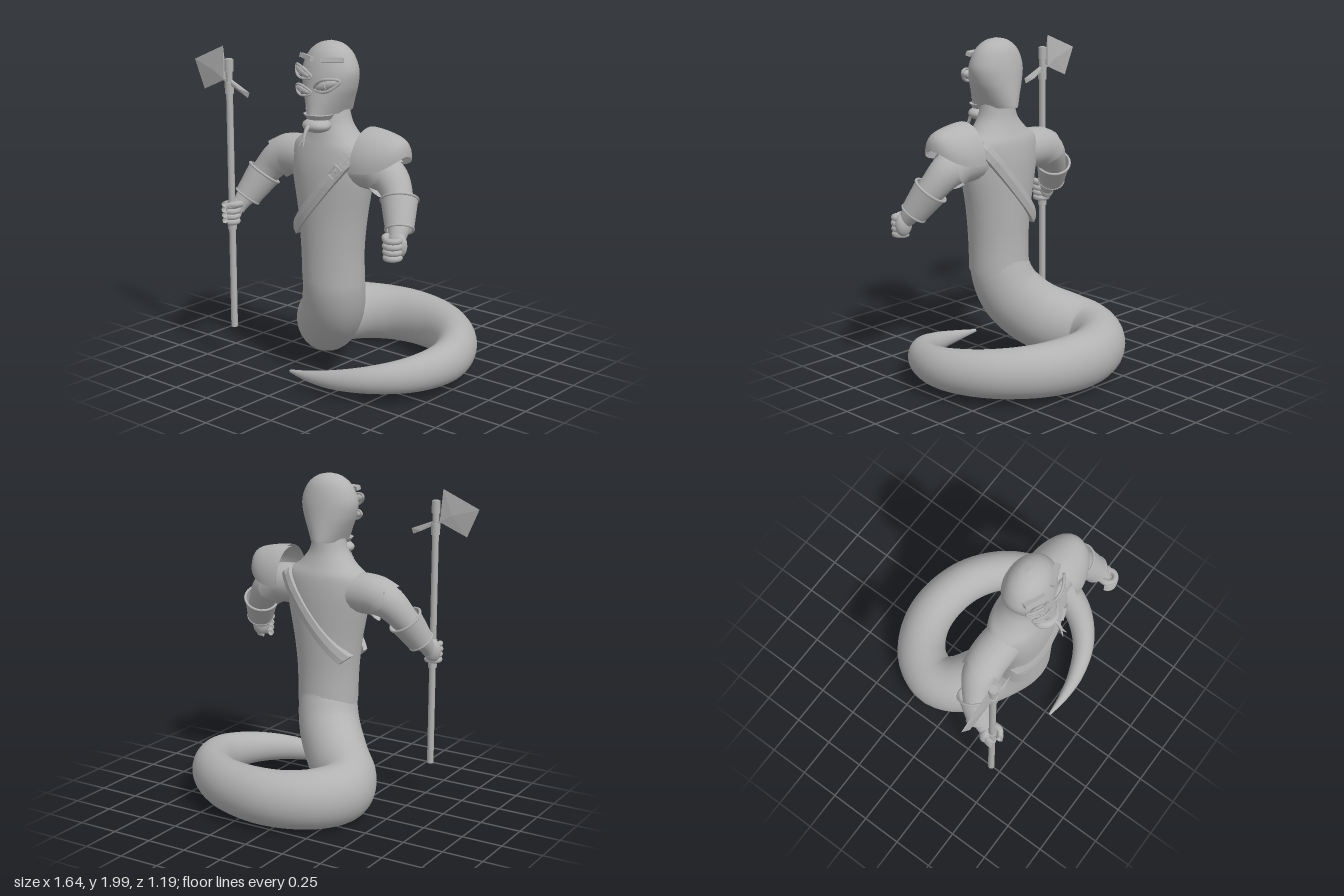
import * as THREE from 'three';
import { ConvexGeometry } from 'three/addons/geometries/ConvexGeometry.js';

const V = (x, y, z) => new THREE.Vector3(x, y, z);
const MID = 0.057; // the torso stands slightly off the origin

// Skin a list of rings of points
function skin(rings, closed = true, caps = true) {
  const n = rings[0].length, pos = [], idx = [];
  rings.forEach(r => r.forEach(p => pos.push(p.x, p.y, p.z)));
  for (let i = 0; i < rings.length - 1; i++)
    for (let j = 0; j < (closed ? n : n - 1); j++) {
      const a = i * n + j, b = i * n + (j + 1) % n;
      idx.push(a, b, a + n, b, b + n, a + n);
    }
  if (caps) [0, rings.length - 1].forEach(i => {
    const c = pos.length / 3, m = V(0, 0, 0);
    rings[i].forEach(p => { m.add(p); pos.push(p.x, p.y, p.z); });
    m.divideScalar(n);
    pos.push(m.x, m.y, m.z);
    for (let j = 0; j < n; j++) {
      const a = c + j, b = c + (j + 1) % n;
      if (i) idx.push(a, b, c + n); else idx.push(b, a, c + n);
    }
  });
  const g = new THREE.BufferGeometry();
  g.setAttribute('position', new THREE.Float32BufferAttribute(pos, 3));
  g.setIndex(idx);
  g.computeVertexNormals();
  return g;
}

// Upright loft through keys of [y, halfWidth, zCentre, halfDepth]
function loft(keys, steps = 40, sides = 36) {
  const c = new THREE.CatmullRomCurve3(keys.map(k => V(0, k[0], k[2])), false, 'catmullrom');
  const r = new THREE.CatmullRomCurve3(keys.map(k => V(k[1], 0, k[3])), false, 'catmullrom');
  return skin(Array.from({ length: steps + 1 }, (_, i) => {
    const p = c.getPoint(i / steps), s = r.getPoint(i / steps);
    return Array.from({ length: sides }, (_, j) => {
      const a = j / sides * Math.PI * 2;
      return V(MID + s.x * Math.sin(a), p.y, p.z + s.z * Math.cos(a));
    });
  }));
}

// Tapered tube through keys of [x, y, z, radius]
function tube(keys, { steps = 24, sides = 20, stretch = 1, jag = 0, caps = true } = {}) {
  const c = new THREE.CatmullRomCurve3(keys.map(k => V(k[0], k[1], k[2])));
  const r = new THREE.CatmullRomCurve3(keys.map(k => V(k[3], 0, 0)), false, 'catmullrom');
  const f = c.computeFrenetFrames(steps);
  return skin(Array.from({ length: steps + 1 }, (_, i) => {
    const p = c.getPointAt(i / steps), rad = r.getPoint(c.getUtoTmapping(i / steps)).x;
    return Array.from({ length: sides }, (_, j) => {
      const a = j / sides * Math.PI * 2;
      const o = f.normals[i].clone().multiplyScalar(Math.cos(a) * rad).addScaledVector(f.binormals[i], Math.sin(a) * rad);
      o.y *= stretch;
      if (i === steps) o.addScaledVector(f.tangents[i], jag * (Math.abs(j % 5 - 2) - 1));
      return o.add(p);
    });
  }), true, caps);
}

// Depth of a loft's surface at x, y on the front (+1) or back (-1)
function surfaceZ(keys, x, y, side, hug = 1) {
  let i = 0;
  while (i < keys.length - 2 && y > keys[i + 1][0]) i++;
  const a = keys[i], b = keys[i + 1], t = (y - a[0]) / (b[0] - a[0]);
  const [, w, z, d] = a.map((v, k) => v + (b[k] - v) * t);
  return z + side * d * Math.sqrt(Math.max(0, 1 - hug * ((x - MID) / w) ** 2));
}

export function createModel() {
  const model = new THREE.Group();
  const grey = new THREE.MeshStandardMaterial({ color: 0xb2b2b2, side: THREE.DoubleSide });
  grey.name = 'clay grey';
  const add = (name, geo, parent = model, x = 0, y = 0, z = 0) => {
    const m = new THREE.Mesh(geo, grey);
    m.name = name;
    m.position.set(x, y, z);
    parent.add(m);
    return m;
  };
  const group = (name, x = 0, y = 0, z = 0) => {
    const g = new THREE.Group();
    g.name = name;
    g.position.set(x, y, z);
    model.add(g);
    return g;
  };

  // Torso and neck
  const torso = [[0.6, 0.188, 0.245, 0.175], [0.8, 0.195, 0.25, 0.17], [1.0, 0.22, 0.248, 0.172], [1.2, 0.262, 0.246, 0.175],
    [1.31, 0.275, 0.243, 0.17], [1.4, 0.26, 0.24, 0.155], [1.46, 0.185, 0.245, 0.135], [1.53, 0.125, 0.25, 0.115],
    [1.6, 0.1, 0.25, 0.105], [1.66, 0.09, 0.25, 0.1]];
  add('torso', loft(torso));

  // Coiled tail
  add('tail', tube([[0.055, 0.72, 0.25, 0.165], [0.055, 0.6, 0.24, 0.18], [0.01, 0.44, 0.19, 0.187], [-0.12, 0.29, 0.08, 0.185],
    [-0.25, 0.22, -0.04, 0.178], [-0.295, 0.2, -0.17, 0.165], [-0.22, 0.193, -0.33, 0.157], [-0.05, 0.19, -0.435, 0.15],
    [0.15, 0.19, -0.46, 0.145], [0.4, 0.19, -0.395, 0.135], [0.61, 0.187, -0.22, 0.123], [0.712, 0.178, 0.03, 0.108],
    [0.655, 0.16, 0.27, 0.09], [0.5, 0.14, 0.44, 0.07], [0.3, 0.115, 0.525, 0.05], [0.12, 0.1, 0.548, 0.028],
    [-0.02, 0.095, 0.545, 0.008]], { steps: 90, sides: 28, stretch: 1.15 }));

  // Head
  const head = [[1.6, 0.09, 0.272, 0.172], [1.62, 0.1, 0.27, 0.17], [1.68, 0.13, 0.268, 0.162], [1.75, 0.162, 0.265, 0.15],
    [1.83, 0.178, 0.263, 0.137], [1.9, 0.158, 0.26, 0.118], [1.95, 0.123, 0.258, 0.094], [1.985, 0.07, 0.257, 0.055], [2.0, 0.006, 0.256, 0.006]];
  add('head', loft(head, 48));

  // Three slit eyes, each a lens inside an almond lid
  const almond = new THREE.CatmullRomCurve3([V(-0.085, 0, -0.01), V(-0.04, 0.027, 0.012), V(0.01, 0.033, 0.017), V(0.085, 0, -0.01),
    V(0.01, -0.033, 0.017), V(-0.04, -0.027, 0.012)], true);
  [[-0.04, 1.83, -0.34, 0.95], [-0.018, 1.732, -0.2, 0.85], [0.143, 1.772, 0.32, 1]].forEach(([x, y, tilt, s]) => {
    const eye = group('eye', x, y, surfaceZ(head, x, y, 1) + 0.012);
    eye.rotation.set(0, (x - MID) * 2.5, tilt, 'YXZ');
    eye.scale.setScalar(s);
    add('eyelid', new THREE.TubeGeometry(almond, 40, 0.009, 6, true), eye);
    add('eyeball', new THREE.SphereGeometry(1, 20, 14), eye).scale.set(0.07, 0.027, 0.024);
    add('pupil', new THREE.SphereGeometry(1, 8, 10), eye, 0, 0, 0.02).scale.set(0.006, 0.022, 0.008);
  });

  // Brows and nostrils
  for (const s of [-1, 1]) {
    const x = MID + s * 0.092, brow = add('brow', new THREE.BoxGeometry(0.13, 0.026, 0.03), model, x, 1.907, surfaceZ(head, x, 1.907, 1) + 0.008);
    brow.rotation.set(-0.3, s * 0.35, s * 0.16);
    const nx = MID + s * 0.04, nostril = add('nostril', new THREE.ConeGeometry(0.014, 0.034, 3), model, nx, 1.643, surfaceZ(head, nx, 1.643, 1));
    nostril.scale.z = 0.6;
  }

  // Mouth: upper lip, jaw and forked tongue
  add('upperLip', new THREE.CylinderGeometry(0.09, 0.07, 0.028, 20), model, MID, 1.585, 0.365).scale.z = 0.95;
  add('jaw', new THREE.SphereGeometry(1, 24, 16), model, MID, 1.535, 0.385).scale.set(0.088, 0.042, 0.075);
  add('tongue', tube([[MID, 1.545, 0.42, 0.014], [MID, 1.53, 0.465, 0.012], [MID, 1.485, 0.492, 0.01]], { steps: 8, sides: 8 }));
  for (const s of [-1, 1])
    add('tongueFork', tube([[MID, 1.488, 0.491, 0.008], [MID + s * 0.007, 1.46, 0.503, 0.006], [MID + s * 0.016, 1.435, 0.52, 0.002]], { steps: 6, sides: 6 }));

  // Arms with ragged sleeves and flared bracers, mirrored about the torso
  for (const s of [-1, 1]) {
    const side = s < 0 ? 'right' : 'left';
    const path = k => k.map(([x, y, z, r]) => [MID + s * x, y, z, r]);
    add(side + 'Arm', tube(path([[0.16, 1.3, 0.245, 0.1], [0.3, 1.3, 0.235, 0.108], [0.41, 1.27, 0.24, 0.103], [0.495, 1.18, 0.275, 0.085],
      [0.555, 1.08, 0.33, 0.072], [0.59, 0.99, 0.4, 0.05], [0.597, 0.95, 0.425, 0.04]]), { steps: 30 }));
    add(side + 'Sleeve', tube(path([[0.15, 1.3, 0.243, 0.12], [0.27, 1.305, 0.237, 0.122], [0.345, 1.298, 0.237, 0.12], [0.4, 1.27, 0.242, 0.121]]),
      { steps: 12, sides: 20, jag: 0.022, caps: false }));
    const top = V(MID + s * 0.51, 1.165, 0.28), end = V(MID + s * 0.575, 1.025, 0.36);
    const bracer = group(side + 'Bracer');
    bracer.position.copy(top).lerp(end, 0.5);
    bracer.quaternion.setFromUnitVectors(V(0, 1, 0), top.clone().sub(end).normalize());
    const len = top.distanceTo(end);
    add('cuff', new THREE.CylinderGeometry(0.104, 0.08, len, 24, 1, true), bracer);
    add('upperRim', new THREE.TorusGeometry(0.103, 0.008, 8, 24), bracer, 0, len / 2, 0).rotation.x = Math.PI / 2;
    add('lowerRim', new THREE.TorusGeometry(0.078, 0.007, 8, 24), bracer, 0, -len / 2, 0).rotation.x = Math.PI / 2;

    // Fist with four curled fingers and a thumb
    const hand = group(side + 'Hand', s < 0 ? -0.545 : 0.655, 0.945, s < 0 ? 0.465 : 0.44);
    add('palm', new THREE.SphereGeometry(1, 18, 14), hand, s * 0.01, 0.01, -0.028).scale.set(0.055, 0.072, 0.04);
    for (let i = 0; i < 4; i++) {
      const finger = add('finger', new THREE.TorusGeometry(0.042 - Math.abs(i - 2) * 0.002, 0.018, 8, 18, 4.9), hand, 0, -0.054 + i * 0.033, 0.008);
      finger.rotation.set(Math.PI / 2, 0, s < 0 ? 2.6 : -1.9);
    }
    add('thumb', tube([[s * -0.045, 0.05, -0.03, 0.02], [s * -0.045, 0.055, 0.02, 0.02], [s * -0.01, 0.05, 0.052, 0.014]], { steps: 8, sides: 10 }), hand);
  }

  // Domed shoulder guard on the left arm, open below and toward the neck
  const dome = (inset, flip) => Array.from({ length: 15 }, (_, i) => {
    const t = i / 14 * Math.PI / 2, R = Math.cos(t) ** 0.85;
    return Array.from({ length: 25 }, (_, j) => {
      const a = -0.12 + j / 24 * (Math.PI + 0.24);
      return V(0.328 + (0.255 - inset) * Math.sin(t), 1.33 + 0.075 * Math.sin(t) ** 3 + (0.21 - inset) * R * Math.sin(a), 0.245 + flip * (0.177 - inset) * R * Math.cos(a));
    });
  });
  const guard = group('shoulderGuard');
  add('outerShell', skin(dome(0, 1), false, false), guard);
  add('innerShell', skin(dome(0.014, -1), false, false), guard);

  // Shoulder strap across chest and back
  for (const side of [1, -1]) {
    const rings = Array.from({ length: 25 }, (_, i) => {
      const t = i / 24, x = 0.298 - 0.425 * t, y = 1.405 - 0.505 * t - 0.02 * Math.sin(t * Math.PI);
      return [[-1, -0.03], [1, -0.03], [1, 0.017], [0, 0.023], [-1, 0.017]].map(([w, d]) => {
        const px = x + w * 0.027, py = y - w * 0.023;
        return V(px, py, surfaceZ(torso, px, py, side, 0.72) + side * d);
      });
    });
    if (side > 0) rings.reverse();
    add(side > 0 ? 'chestStrap' : 'backStrap', skin(rings).toNonIndexed()).geometry.computeVertexNormals();
  }
  const buckle = group('buckle', 0.212, 1.29, surfaceZ(torso, 0.212, 1.29, 1, 0.72) + 0.024);
  buckle.rotation.set(0, 0.35, 0.86);
  for (const s of [-1, 1]) {
    add('buckleBar', new THREE.BoxGeometry(0.08, 0.011, 0.016), buckle, 0, s * 0.024, 0);
    add('buckleEnd', new THREE.BoxGeometry(0.011, 0.058, 0.016), buckle, s * 0.036, 0, 0);
  }
  add('bucklePin', new THREE.BoxGeometry(0.035, 0.01, 0.016), buckle);

  // Poleaxe
  const axe = group('poleaxe', -0.545, 0, 0.465);
  add('shaft', new THREE.CylinderGeometry(0.02, 0.02, 1.63, 16), axe, 0, 1.045, 0);
  [[1.82, 0.07, 0.026], [1.69, 0.07, 0.027], [1.0, 0.03, 0.026], [0.855, 0.03, 0.026]].forEach(([y, h, r]) =>
    add('shaftBand', new THREE.CylinderGeometry(r, r, h, 16), axe, 0, y, 0));
  add('blade', new ConvexGeometry([V(-0.045, 1.93, 0), V(-0.28, 1.83, 0), V(-0.205, 1.66, 0), V(-0.032, 1.735, 0.013),
    V(-0.032, 1.735, -0.013), V(-0.11, 1.78, 0.014), V(-0.11, 1.78, -0.014)]), axe);
  add('bladeNeck', new THREE.BoxGeometry(0.06, 0.014, 0.02), axe, -0.025, 1.732, 0).rotation.z = -0.3;
  add('backSpike', new ConvexGeometry([V(0, 1.742, 0.01), V(0, 1.742, -0.01), V(0, 1.715, 0.01), V(0, 1.715, -0.01),
    V(0.09, 1.692, 0.013), V(0.09, 1.67, -0.013), V(0.16, 1.678, 0), V(0.148, 1.645, 0)]), axe);
  return model;
}
